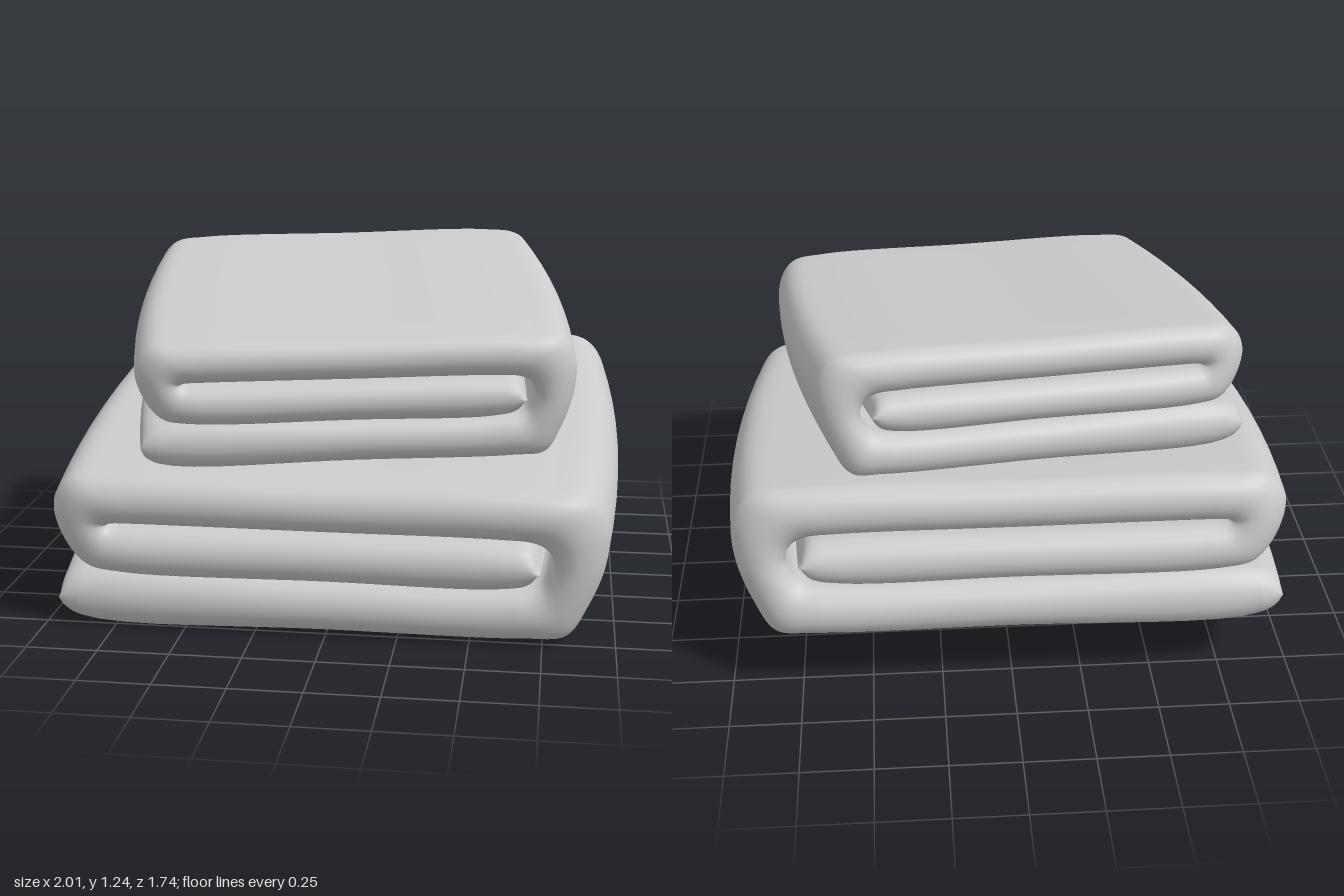
import * as THREE from 'three';

// Fold profile in the x-y plane: [outer x, outer y, inner x, inner y] along the cloth,
// from the free bottom edge, round the right fold, over the top, round the left fold
// and back inside as the tucked middle layer.
const FOLD = [
  [-0.99, 0.09, -0.99, 0.09], [-0.975, 0.035, -0.97, 0.145], [-0.91, 0.0, -0.90, 0.18],
  [0, 0, 0, 0.185], [0.72, 0, 0.66, 0.187],
  [0.865, 0.012, 0.765, 0.205], [0.935, 0.12, 0.80, 0.25], [0.99, 0.28, 0.81, 0.29],
  [0.99, 0.43, 0.79, 0.34], [0.925, 0.53, 0.74, 0.368], [0.76, 0.555, 0.62, 0.378],
  [0, 0.555, 0, 0.38], [-0.76, 0.555, -0.70, 0.38],
  [-0.92, 0.535, -0.77, 0.377], [-0.99, 0.44, -0.785, 0.373], [-0.97, 0.32, -0.78, 0.369],
  [-0.89, 0.215, -0.76, 0.365], [-0.76, 0.19, -0.68, 0.362],
  [0, 0.19, 0, 0.362], [0.62, 0.19, 0.62, 0.36], [0.73, 0.215, 0.73, 0.345], [0.77, 0.28, 0.77, 0.28],
];

// Ring around the cloth thickness: s = -1 inner face, +1 outer face; z in -1..1 plus rounded edge
function clothRing() {
  const ring = [], edge = 10, flat = 8;
  for (const side of [1, -1]) {
    for (let k = 0; k <= edge; k++) {
      const a = -Math.PI / 2 + (Math.PI * k) / edge;
      ring.push({ s: side * Math.sin(a), z: side, round: side * Math.cos(a) });
    }
    for (let k = 1; k < flat; k++) {
      ring.push({ s: side, z: side * (1 - (2 * k) / flat), round: 0 });
    }
  }
  return ring;
}

// Sweeps the ring along the fold; ends narrow slightly and the corners are softened
function foldedCloth(name, halfWidth, height, halfDepth) {
  const sy = height / 0.555, edgeRadius = 0.085 * sy;
  const curve = (ix) => new THREE.CatmullRomCurve3(
    FOLD.map((p) => new THREE.Vector3(p[ix] * halfWidth, p[ix + 1] * sy, 0)));
  const outer = curve(0), inner = curve(2);
  const ring = clothRing(), n = ring.length, steps = (FOLD.length - 1) * 8;
  const positions = [], index = [];
  for (let i = 0; i <= steps; i++) {
    const o = outer.getPoint(i / steps), q = inner.getPoint(i / steps);
    for (const { s, z, round } of ring) {
      const p = q.clone().lerp(o, (s + 1) / 2);
      const corner = 1 - 0.05 * Math.pow(Math.abs(p.x / halfWidth), 8);
      const pz = (z * (halfDepth - edgeRadius) + round * edgeRadius) * corner;
      const taper = 1 - 0.055 * Math.pow(pz / halfDepth, 2);
      positions.push(p.x * taper, p.y, pz);
    }
  }
  for (let i = 0; i < steps; i++) {
    for (let k = 0; k < n; k++) {
      const a = i * n + k, b = i * n + ((k + 1) % n);
      index.push(a, b, a + n, b, b + n, a + n);
    }
  }
  const geometry = new THREE.BufferGeometry();
  geometry.setAttribute('position', new THREE.Float32BufferAttribute(positions, 3));
  geometry.setIndex(index);
  geometry.computeVertexNormals();
  const mesh = new THREE.Mesh(geometry, new THREE.MeshStandardMaterial({ color: 0xcccccc }));
  mesh.name = name;
  return mesh;
}

export function createModel() {
  const model = new THREE.Group();
  model.name = 'foldedTowels';

  // The whole stack leans forward
  const stack = new THREE.Group();
  stack.name = 'towelStack';
  stack.rotation.x = 0.15;
  stack.position.set(0, 0.118, -0.04);
  model.add(stack);

  const lower = foldedCloth('lowerTowel', 1.01, 0.555, 0.85);
  stack.add(lower);

  // Smaller towel, turned on top of the lower one
  const upper = foldedCloth('upperTowel', 0.79, 0.44, 0.685);
  upper.position.set(0, 0.572, -0.023);
  upper.rotation.y = 0.157;
  stack.add(upper);

  return model;
}
